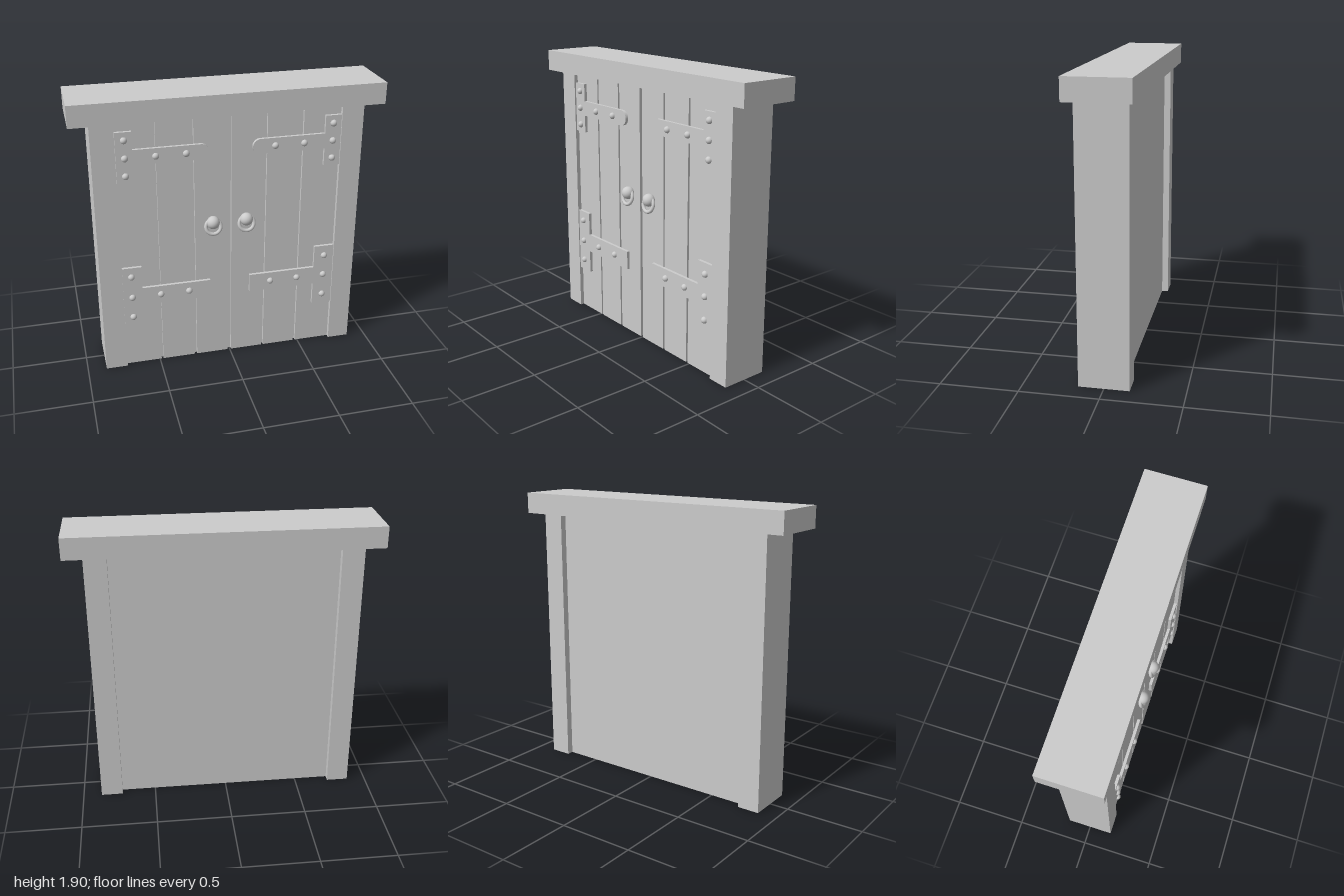
import * as THREE from 'three';

const grey = new THREE.MeshStandardMaterial({ color: 0xcccccc });

function add(parent, geometry, name, x = 0, y = 0, z = 0) {
  const mesh = new THREE.Mesh(geometry, grey);
  mesh.name = name;
  mesh.position.set(x, y, z);
  parent.add(mesh);
  return mesh;
}

// Box given by its limits on each axis
function box(parent, name, [x0, x1], [y0, y1], [z0, z1]) {
  return add(parent, new THREE.BoxGeometry(x1 - x0, y1 - y0, z1 - z0), name,
    (x0 + x1) / 2, (y0 + y1) / 2, (z0 + z1) / 2);
}

const POST_IN = 0.73, TOP = 1.76;
const FACE = 0.133; // front of the planks
const HINGE = 0.02; // hinge thickness

// T-shaped hinge: wall plate plus a strap reaching to the middle
function hinge(name, side, { outer, inner, tip, plateY, strapY, round, studs }) {
  const group = new THREE.Group();
  group.name = name;
  const [b, t] = plateY, [sb, st] = strapY, r = (st - sb) / 2;
  const s = new THREE.Shape();
  s.moveTo(side * outer, b);
  s.lineTo(side * inner, b);
  s.lineTo(side * inner, sb);
  if (round) {
    s.lineTo(side * (tip + r), sb);
    s.absarc(side * (tip + r), sb + r, r, -Math.PI / 2, Math.PI / 2, side > 0);
  } else {
    s.lineTo(side * tip, sb);
    s.lineTo(side * tip, st);
  }
  s.lineTo(side * inner, st);
  s.lineTo(side * inner, t);
  s.lineTo(side * outer, t);
  s.closePath();
  add(group, new THREE.ExtrudeGeometry(s, { depth: HINGE, bevelEnabled: false, curveSegments: 16 }),
    'hingePlate', 0, 0, FACE);
  for (const [x, y] of studs) {
    add(group, new THREE.SphereGeometry(0.022, 16, 12), 'stud', side * x, y, FACE + HINGE);
  }
  return group;
}

// Round knob on a stem with a hanging ring
function handle(name, x) {
  const group = new THREE.Group();
  group.name = name;
  group.position.set(x, 1.027, FACE);
  add(group, new THREE.SphereGeometry(0.043, 24, 16), 'knob', 0, 0, 0.022);
  const stem = add(group, new THREE.CylinderGeometry(0.03, 0.03, 0.04, 20), 'stem');
  stem.rotation.x = Math.PI / 2;
  const ring = add(group, new THREE.TorusGeometry(0.05, 0.012, 12, 32), 'ring', 0, -0.028, 0.026);
  ring.rotation.x = -0.25;
  return group;
}

export function createModel() {
  const model = new THREE.Group();
  model.name = 'doubleDoor';

  // Frame
  box(model, 'lintel', [-1, 1], [TOP, 1.9], [-0.2, 0.2]);
  box(model, 'rightPost', [-0.875, -POST_IN], [0, TOP], [-0.16, 0.16]);
  box(model, 'leftPost', [POST_IN, 0.875], [0, TOP], [-0.16, 0.16]);

  // Door leaves: smooth backing with grooved planks in front
  box(model, 'doorBack', [-POST_IN, POST_IN], [0, TOP], [-0.115, 0.113]);
  const grooves = [-0.482, -0.243, -0.003, 0.237, 0.476];
  const gap = [0.007, 0.008, 0.012, 0.007, 0.008];
  for (let i = 0; i <= grooves.length; i++) {
    const x0 = i ? grooves[i - 1] + gap[i - 1] : -POST_IN;
    const x1 = i < grooves.length ? grooves[i] - gap[i] : POST_IN;
    box(model, 'plank', [x0, x1], [0, TOP], [0.113, FACE]);
  }

  // Hinges: rounded straps above, square straps below
  const upperStuds = (p, a, b) => [[p, 1.642], [p, 1.524], [p, 1.406], [a, 1.524], [b, 1.524]];
  const lowerStuds = (p, a, b, hi, lo) => [[p, hi], [p, 0.535], [p, lo], [a, 0.535], [b, 0.535]];
  const upper = { plateY: [1.355, 1.695], strapY: [1.474, 1.576], round: true };
  const lower = { plateY: [0.307, 0.757], strapY: [0.468, 0.597], round: false };
  model.add(
    hinge('upperRightHinge', -1, { ...upper, outer: 0.725, inner: 0.62, tip: 0.14, studs: upperStuds(0.67, 0.478, 0.286) }),
    hinge('upperLeftHinge', 1, { ...upper, outer: 0.729, inner: 0.623, tip: 0.144, studs: upperStuds(0.676, 0.484, 0.291) }),
    hinge('lowerRightHinge', -1, { ...lower, outer: 0.729, inner: 0.6, tip: 0.14, studs: lowerStuds(0.67, 0.478, 0.286, 0.69, 0.385) }),
    hinge('lowerLeftHinge', 1, { ...lower, outer: 0.729, inner: 0.592, tip: 0.134, studs: lowerStuds(0.662, 0.47, 0.28, 0.684, 0.377) }),
  );

  // Handles
  model.add(handle('rightHandle', -0.118), handle('leftHandle', 0.106));
  return model;
}
